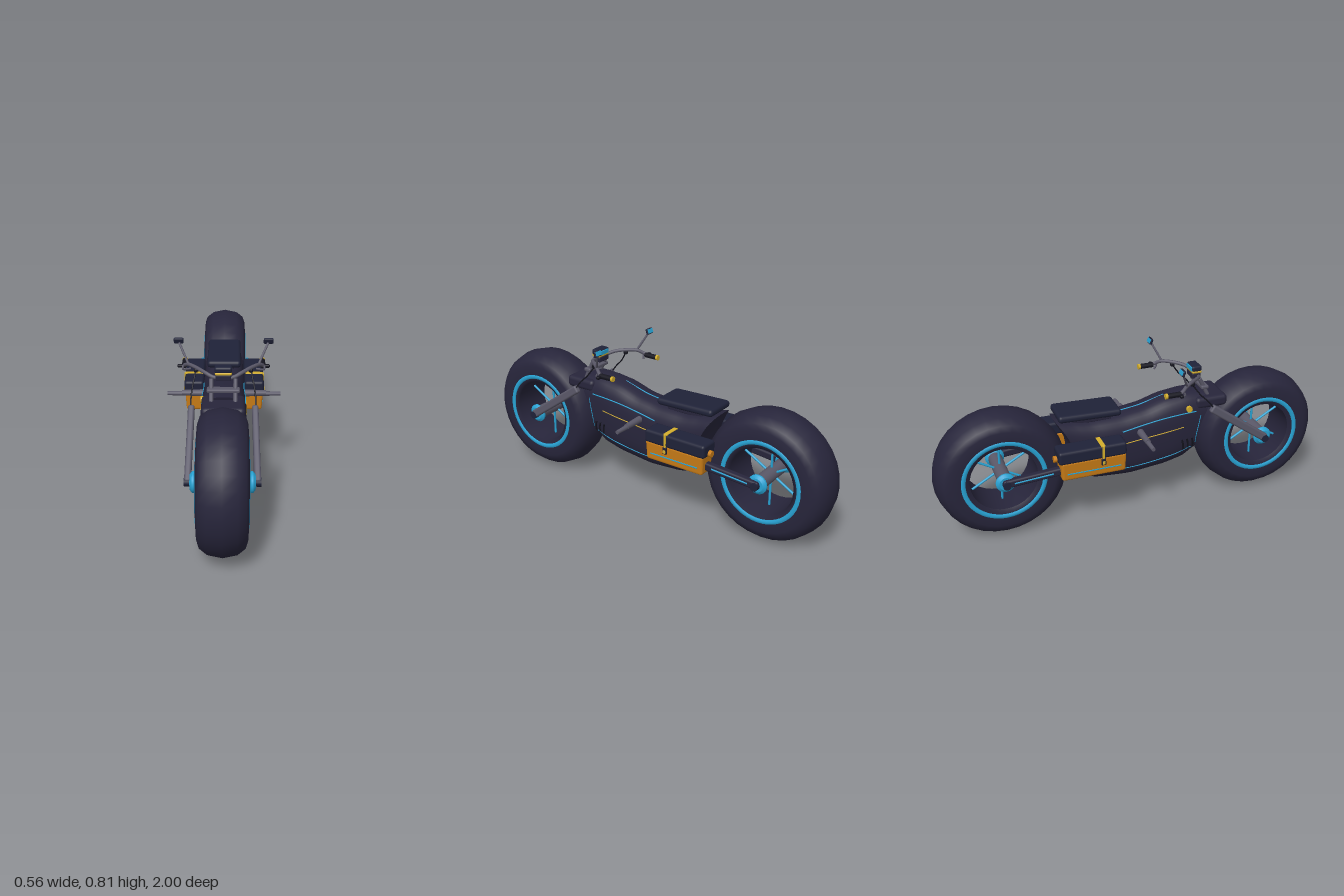
import * as THREE from 'three';
import { toCreasedNormals } from 'three/addons/utils/BufferGeometryUtils.js';
import { RoundedBoxGeometry } from 'three/addons/geometries/RoundedBoxGeometry.js';

const paint = (name, color) => {
  const m = new THREE.MeshStandardMaterial({ color });
  m.name = name;
  return m;
};
const V = (x, y, z) => new THREE.Vector3(x, y, z);

// Hull profile, u = 0 at the front and 1 at the tail
const sample = (pts, u) => {
  let i = 1;
  while (i < pts.length - 1 && u > pts[i][0]) i++;
  const [a, b] = [pts[i - 1], pts[i]];
  const t = THREE.MathUtils.clamp((u - a[0]) / (b[0] - a[0]), 0, 1);
  return a[1] + (b[1] - a[1]) * (t * t * (3 - 2 * t) * 0.4 + t * 0.6);
};
const TOP = [[0, 0.595], [0.12, 0.603], [0.25, 0.59], [0.45, 0.55], [0.6, 0.535], [0.8, 0.532], [0.92, 0.545], [1, 0.565]];
const BOTTOM = [[0, 0.28], [0.12, 0.238], [0.3, 0.215], [0.55, 0.2], [0.8, 0.21], [1, 0.245]];
const WIDTH = [[0, 0.1], [0.2, 0.11], [0.7, 0.11], [1, 0.1]];
const arc = (y) => Math.sqrt(0.36 ** 2 - (y - 0.325) ** 2);
const zFront = (y) => Math.min(0.678 - arc(y), 0.38);
const zRear = (y) => -0.678 + arc(y);
const POW = 3;

// Half width of the hull at a side position
function hullX(z, y) {
  const u = THREE.MathUtils.clamp((zFront(y) - z) / (zFront(y) - zRear(y)), 0, 1);
  const t0 = sample(TOP, u), b0 = sample(BOTTOM, u);
  const t = Math.min(1, Math.abs((y - (t0 + b0) / 2) / ((t0 - b0) / 2)));
  return sample(WIDTH, u) * (1 - t ** POW) ** (1 / POW);
}

function hullGeometry() {
  const N = 28, M = 40, pos = [], idx = [];
  for (let i = 0; i <= N; i++) {
    const u = i / N, t = sample(TOP, u), b = sample(BOTTOM, u), w = sample(WIDTH, u);
    for (let j = 0; j < M; j++) {
      const a = (j / M) * Math.PI * 2, c = Math.cos(a), s = Math.sin(a);
      const y = (t + b) / 2 + ((t - b) / 2) * Math.sign(s) * Math.abs(s) ** (2 / POW);
      pos.push(w * Math.sign(c) * Math.abs(c) ** (2 / POW), y, zFront(y) + (zRear(y) - zFront(y)) * u);
    }
  }
  for (let i = 0; i < N; i++) for (let j = 0; j < M; j++) {
    const a = i * M + j, b = i * M + (j + 1) % M;
    idx.push(a, a + M, b, b, a + M, b + M);
  }
  const f = pos.length / 3;
  pos.push(0, 0.42, zFront(0.42), 0, 0.4, zRear(0.4));
  for (let j = 0; j < M; j++) {
    const k = (j + 1) % M;
    idx.push(f, j, k, f + 1, N * M + k, N * M + j);
  }
  const g = new THREE.BufferGeometry();
  g.setAttribute('position', new THREE.Float32BufferAttribute(pos, 3));
  g.setIndex(idx);
  return toCreasedNormals(g, 0.7);
}

export function createModel() {
  const root = new THREE.Group();
  root.name = 'motorcycle';
  const dark = paint('dark navy', 0x27253b);
  const navy = paint('deep navy', 0x1f2238);
  const black = paint('near black', 0x15151f);
  const blue = paint('bright blue', 0x28a3d4);
  const grey = paint('grey metal', 0x5a5868);
  const orange = paint('orange', 0xc97c17);
  const gold = paint('gold', 0xd4ae2c);

  const add = (name, geo, mat, x = 0, y = 0, z = 0, parent = root) => {
    const m = new THREE.Mesh(geo, mat);
    m.name = name;
    m.position.set(x, y, z);
    parent.add(m);
    return m;
  };
  const box = (name, mat, w, h, d, x, y, z, r = 0.006) =>
    add(name, new RoundedBoxGeometry(w, h, d, 2, Math.min(r, w / 2.1, h / 2.1, d / 2.1)), mat, x, y, z);
  const rod = (name, mat, p, q, r, r2 = r, seg = 12, parent = root) => {
    const d = q.clone().sub(p), c = p.clone().add(q).multiplyScalar(0.5);
    const m = add(name, new THREE.CylinderGeometry(r2, r, d.length(), seg), mat, c.x, c.y, c.z, parent);
    m.quaternion.setFromUnitVectors(V(0, 1, 0), d.normalize());
    return m;
  };
  const beam = (name, mat, p, q, w, h) => {
    const c = p.clone().add(q).multiplyScalar(0.5);
    const m = box(name, mat, w, h, p.distanceTo(q), c.x, c.y, c.z, 0.01);
    m.lookAt(q);
    return m;
  };
  const tube = (name, mat, pts, r, n = 24) =>
    add(name, new THREE.TubeGeometry(new THREE.CatmullRomCurve3(pts), n, r, 8), mat);
  const lathe = (pts, seg) =>
    new THREE.LatheGeometry(pts.map(([r, h]) => new THREE.Vector2(r, h)), seg).rotateZ(-Math.PI / 2);

  // Wheels
  const half = [[0.165, 0.098], [0.185, 0.11], [0.215, 0.113], [0.255, 0.11], [0.285, 0.1], [0.312, 0.065], [0.325, 0]];
  const tyreProfile = [...half.map(([r, h]) => [r, -h]), ...half.slice(0, -1).reverse(), [0.165, -0.098]];
  for (const [name, z] of [['frontWheel', 0.675], ['rearWheel', -0.675]]) {
    const wheel = new THREE.Group();
    wheel.name = name;
    wheel.position.set(0, 0.325, z);
    root.add(wheel);
    add('tyre', lathe(tyreProfile, 32), dark, 0, 0, 0, wheel);
    rod('axle', grey, V(-0.12, 0, 0), V(0.12, 0, 0), 0.034, 0.034, 20, wheel);
    for (let i = 0; i < 6; i++) {
      const a = (i * Math.PI) / 3;
      const d = V(0, Math.cos(a), Math.sin(a));
      rod('spoke', blue, d.clone().multiplyScalar(0.03), d.clone().multiplyScalar(0.17), 0.006, 0.006, 8, wheel);
    }
    for (const s of [-1, 1]) {
      const ring = add('rimRing', new THREE.TorusGeometry(0.198, 0.013, 8, 48), blue, s * 0.109, 0, 0, wheel);
      ring.rotation.y = Math.PI / 2;
      ring.scale.z = 0.5;
      add('hub', toCreasedNormals(lathe([[0, -0.015], [0.034, -0.015], [0.048, -0.004], [0.048, 0.004], [0.034, 0.015], [0, 0.015]], 20), 0.5),
        blue, s * 0.128, 0, 0, wheel);
      rod('axleCap', navy, V(s * 0.138, 0, 0), V(s * 0.168, 0, 0), 0.02, 0.02, 12, wheel);
    }
  }

  // Hull, neck cover and seat
  add('hull', hullGeometry(), dark);
  box('neckCover', dark, 0.2, 0.06, 0.17, 0, 0.55, 0.395, 0.02);
  const seat = box('seat', navy, 0.17, 0.036, 0.315, 0, 0.573, -0.235, 0.016);
  seat.rotation.x = 0.03;
  box('seatMount', dark, 0.1, 0.04, 0.2, 0, 0.545, -0.22);

  // Centre stripe on the hull
  const topY = (z) => sample(TOP, (0.38 - z) / 0.78) + 0.001;
  tube('centreStripe', blue, [0.17, 0.1, 0.03, -0.04, -0.09].map((z) => V(0, topY(z), z)), 0.003);

  // Front clamp and instrument pod
  box('forkClamp', grey, 0.15, 0.018, 0.04, 0, 0.625, 0.365);
  box('podBase', dark, 0.072, 0.028, 0.045, 0, 0.678, 0.332);
  box('podStripe', gold, 0.077, 0.014, 0.05, 0, 0.698, 0.334);
  box('podTop', navy, 0.08, 0.03, 0.05, 0, 0.715, 0.334, 0.01);
  box('podScreen', blue, 0.062, 0.022, 0.006, 0, 0.713, 0.308, 0.002);
  add('fillerCap', new THREE.CylinderGeometry(0.016, 0.016, 0.014, 10).rotateZ(Math.PI / 2), gold, -hullX(0.27, 0.535) - 0.003, 0.535, 0.27);

  // Everything that repeats on both sides
  for (const s of [-1, 1]) {
    const P = (x, y, z) => V(s * x, y, z);
    // Hull trim lines and vents
    const trim = (name, mat, pts, r) =>
      tube(name, mat, pts.map(([z, y]) => P(hullX(z, y), y, z)), r, 32);
    trim('upperTrim', blue, [[0.31, 0.515], [0.22, 0.513], [0.12, 0.503], [0.02, 0.487], [-0.08, 0.47]], 0.003);
    trim('middleTrim', gold, [[0.24, 0.442], [0.14, 0.43], [0.04, 0.42], [-0.07, 0.408]], 0.0025);
    trim('lowerTrim', blue, [[0.29, 0.315], [0.2, 0.293], [0.1, 0.277], [0, 0.267], [-0.15, 0.265], [-0.29, 0.272]], 0.0025);
    trim('frontTrim', blue, [[0.335, 0.49], [0.325, 0.44], [0.314, 0.38], [0.312, 0.335]], 0.002);
    for (let i = 0; i < 3; i++) {
      const z = 0.3 - i * 0.028;
      trim('vent', black, [[z - 0.012, 0.372], [z - 0.004, 0.345], [z, 0.315]], 0.005);
    }

    // Fork, clamp posts and cables
    const fork = beam('forkLeg', grey, P(0.152, 0.325, 0.68), P(0.145, 0.545, 0.37), 0.03, 0.042);
    fork.updateMatrix();
    rod('clampPost', grey, P(0.055, 0.55, 0.4), P(0.055, 0.67, 0.34), 0.01);
    tube('cable', black, [P(0.127, 0.68, 0.27), P(0.14, 0.625, 0.31), P(0.147, 0.585, 0.35), P(0.147, 0.54, 0.385)], 0.0035);
    box('cableJoint', black, 0.018, 0.018, 0.022, s * 0.127, 0.682, 0.27);

    // Handlebar, grip and lever
    tube('handlebar', grey, [P(0, 0.674, 0.345), P(0.045, 0.677, 0.34), P(0.085, 0.69, 0.315), P(0.13, 0.696, 0.265),
      P(0.165, 0.692, 0.22), P(0.183, 0.676, 0.19), P(0.184, 0.67, 0.165)], 0.009, 32);
    rod('grip', black, P(0.184, 0.67, 0.185), P(0.184, 0.67, 0.115), 0.013);
    rod('gripEnd', gold, P(0.184, 0.67, 0.116), P(0.184, 0.67, 0.104), 0.0135);
    tube('lever', grey, [P(0.19, 0.68, 0.2), P(0.19, 0.662, 0.205), P(0.172, 0.655, 0.19), P(0.155, 0.654, 0.18)], 0.005, 12);
    box('switch', black, 0.035, 0.016, 0.018, s * 0.2, 0.668, 0.18);

    // Mirror
    rod('mirrorStem', grey, P(0.163, 0.695, 0.225), P(0.207, 0.785, 0.182), 0.0055);
    const mirror = new THREE.Group();
    mirror.name = 'mirror';
    mirror.position.set(s * 0.209, 0.793, 0.179);
    mirror.rotation.x = 0.35;
    root.add(mirror);
    mirror.add(box('mirrorShell', navy, 0.046, 0.03, 0.014, 0, 0, 0), box('mirrorGlass', blue, 0.038, 0.022, 0.004, 0, 0, -0.007, 0.001));

    // Foot peg
    rod('pegBase', grey, P(0.1, 0.455, 0.01), P(0.21, 0.455, 0.01), 0.018, 0.014);
    rod('peg', grey, P(0.2, 0.452, 0.01), P(0.282, 0.452, 0.01), 0.012, 0.01);

    // Saddlebag: tapered case, lid, strap and clasp
    const caseGeo = new RoundedBoxGeometry(0.094, 0.1, 0.325, 2, 0.012);
    const p = caseGeo.attributes.position;
    for (let i = 0; i < p.count; i++) if (p.getY(i) < 0) {
      p.setX(i, p.getX(i) * 0.9);
      p.setZ(i, p.getZ(i) * 0.98);
    }
    caseGeo.computeVertexNormals();
    add('bagCase', caseGeo, orange, s * 0.152, 0.362, -0.257);
    box('bagLid', navy, 0.1, 0.067, 0.338, s * 0.154, 0.437, -0.262, 0.014);
    box('bagTrim', blue, 0.005, 0.006, 0.27, s * 0.196, 0.348, -0.257, 0.001);
    box('bagStrap', gold, 0.09, 0.008, 0.022, s * 0.156, 0.47, -0.213, 0.002);
    box('strapDrop', gold, 0.008, 0.075, 0.012, s * 0.204, 0.435, -0.213, 0.002);
    box('claspPlate', navy, 0.01, 0.036, 0.022, s * 0.204, 0.389, -0.213, 0.003);
    box('clasp', gold, 0.012, 0.018, 0.014, s * 0.206, 0.384, -0.213, 0.003);
    rod('rearLamp', orange, P(0.155, 0.42, -0.42), P(0.155, 0.42, -0.447), 0.016);

    // Swing arm
    beam('swingArm', dark, P(0.152, 0.355, -0.36), P(0.142, 0.326, -0.69), 0.036, 0.04);
    beam('swingArmStripe', blue, P(0.168, 0.349, -0.45), P(0.161, 0.331, -0.64), 0.006, 0.008);
  }
  return root;
}
